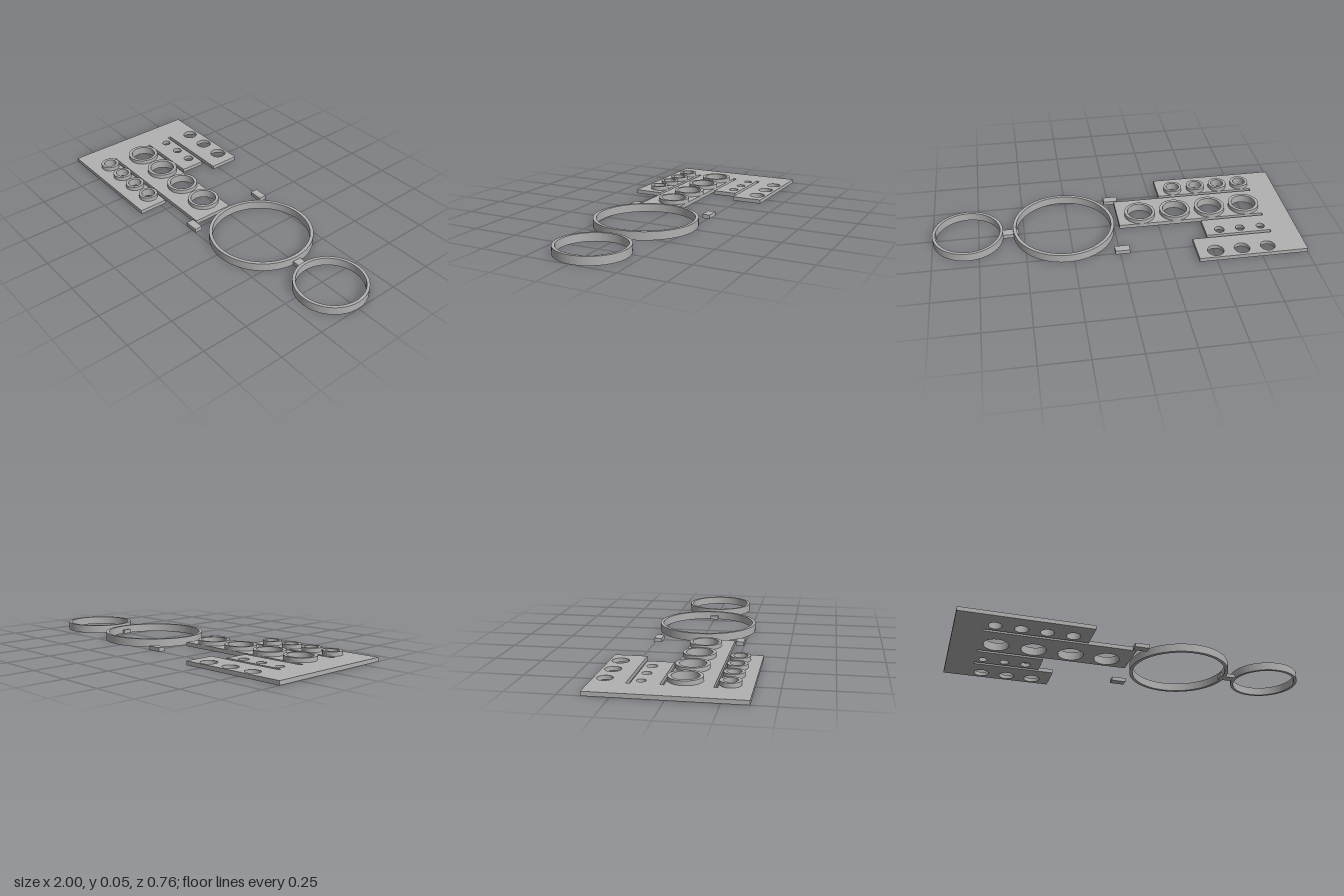
import * as THREE from 'three';
import { toCreasedNormals } from 'three/addons/utils/BufferGeometryUtils.js';

const THIN = 0.022, TALL = 0.045;

// Rows of holes; those with a collar radius get a raised rim
const rows = [
  { z0: -0.385, z1: -0.213, end: -0.405, z: -0.328, xs: [-0.793, -0.65, -0.505], radii: [0.04, 0.042, 0.044] },
  { z0: -0.193, z1: -0.053, end: -0.49, z: -0.15, xs: [-0.805, -0.688, -0.571], radii: [0.023, 0.025, 0.027] },
  { z0: -0.033, z1: 0.198, end: -0.03, z: 0.053, xs: [-0.763, -0.562, -0.36, -0.158], radii: [0.068, 0.068, 0.069, 0.07], collar: 0.086 },
  { z0: 0.217, z1: 0.38, end: -0.3, z: 0.27, xs: [-0.797, -0.663, -0.53, -0.393], radii: [0.035, 0.036, 0.036, 0.037], collar: 0.052 },
];

function circle(PathType, x, z, r) {
  return new PathType().absarc(x, z, r, 0, Math.PI * 2, PathType === THREE.Path);
}

// Extrude an (x, z) outline upward from y0 to y1
function slab(shape, y0, y1) {
  const geo = new THREE.ExtrudeGeometry(shape, { depth: y1 - y0, bevelEnabled: false, curveSegments: 64 });
  geo.rotateX(Math.PI / 2).translate(0, y1, 0);
  return toCreasedNormals(geo, 0.5);
}

function ring(x, z, outer, inner, y0, y1) {
  const shape = circle(THREE.Shape, x, z, outer);
  shape.holes.push(circle(THREE.Path, x, z, inner));
  return slab(shape, y0, y1);
}

function block(x0, x1, z0, z1, h) {
  return new THREE.BoxGeometry(x1 - x0, h, z1 - z0).translate((x0 + x1) / 2, h / 2, (z0 + z1) / 2);
}

export function createModel() {
  const group = new THREE.Group();
  const grey = new THREE.MeshStandardMaterial({ color: 0xb2b2b2 });
  grey.name = 'grey plastic';
  const add = (name, geo) => {
    const mesh = new THREE.Mesh(geo, grey);
    mesh.name = name;
    group.add(mesh);
  };

  // Gauge plate: four tongues of different length separated by slots
  const outline = [[-1, rows[0].z0]];
  rows.forEach((row, i) => {
    if (i > 0) outline.push([-0.85, rows[i - 1].z1], [-0.85, row.z0]);
    outline.push([row.end, row.z0], [row.end, row.z1]);
  });
  outline.push([-1, rows[3].z1]);
  const plate = new THREE.Shape(outline.map(([x, z]) => new THREE.Vector2(x, z)));
  for (const row of rows) {
    row.xs.forEach((x, i) => plate.holes.push(circle(THREE.Path, x, row.z, row.radii[i])));
  }
  add('gaugePlate', slab(plate, 0, THIN));

  // Raised collars around the holes of the two front rows
  for (const row of rows.filter((r) => r.collar)) {
    row.xs.forEach((x, i) => add('holeCollar', ring(x, row.z, row.collar, row.radii[i], THIN, TALL)));
  }

  // Two large hoops joined by a short bridge
  add('largeHoop', ring(0.28, -0.002, 0.28, 0.262, 0, TALL));
  add('smallHoop', ring(0.807, -0.002, 0.192, 0.176, 0, TALL));
  add('hoopBridge', block(0.53, 0.62, -0.027, 0.022, THIN));

  // Loose spacer blocks
  add('backSpacer', block(-0.053, 0.027, -0.257, -0.213, THIN));
  add('frontSpacer', block(-0.053, 0.027, 0.205, 0.249, THIN));

  return group;
}
